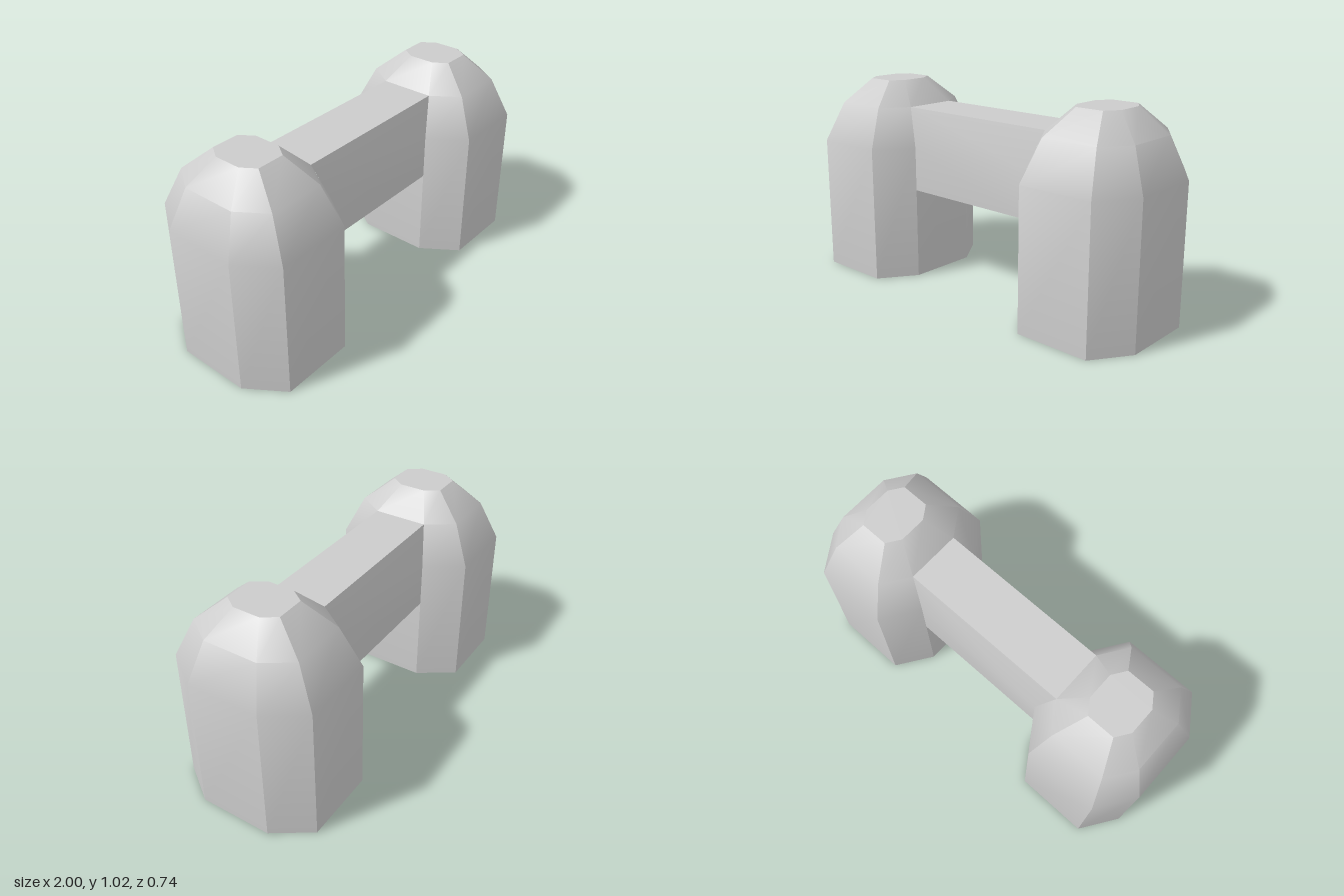
import * as THREE from 'three';
import { toCreasedNormals } from 'three/addons/utils/BufferGeometryUtils.js';

// Skin a stack of matching closed rings of [x, y, z] corners, with optional end caps
function loft(rings, capped) {
  const pos = [];
  const tri = (a, b, c) => pos.push(...a, ...b, ...c);
  const n = rings[0].length;
  for (let i = 0; i < rings.length - 1; i++) {
    const lo = rings[i], hi = rings[i + 1];
    for (let j = 0; j < n; j++) {
      const k = (j + 1) % n;
      tri(lo[j], lo[k], hi[k]);
      tri(lo[j], hi[k], hi[j]);
    }
  }
  if (capped) {
    const first = rings[0], last = rings[rings.length - 1];
    for (let j = 1; j < n - 1; j++) {
      tri(first[0], first[j + 1], first[j]);
      tri(last[0], last[j], last[j + 1]);
    }
  }
  const geo = new THREE.BufferGeometry();
  geo.setAttribute('position', new THREE.Float32BufferAttribute(pos, 3));
  return toCreasedNormals(geo, THREE.MathUtils.degToRad(30));
}

export function createModel() {
  const group = new THREE.Group();
  const material = new THREE.MeshStandardMaterial({ color: 0xcccccc });
  const postX = 0.684;

  // Posts: stretched octagon, straight below and domed above
  const octagon = [
    [0.316, 0.185], [0.316, -0.185], [0.19, -0.37], [-0.19, -0.37],
    [-0.316, -0.185], [-0.316, 0.185], [-0.19, 0.37], [0.19, 0.37],
  ];
  const profile = [[0, 1], [0.7, 1], [0.9, 0.75], [1.023, 0.37]]; // [height, scale]
  const postGeometry = loft(profile.map(([y, s]) => octagon.map(([x, z]) => [x * s, y, z * s])), true);
  for (const [name, side] of [['leftPost', 1], ['rightPost', -1]]) {
    const post = new THREE.Mesh(postGeometry, material);
    post.name = name;
    post.position.x = side * postX;
    group.add(post);
  }

  // Crossbar: chamfered section whose ends follow the slope of the posts
  const section = [ // [half length, y, z]
    [0.447, 0.9, -0.139], [0.447, 0.9, 0.139], [0.368, 0.7, 0.185],
    [0.368, 0.475, 0.185], [0.368, 0.475, -0.185], [0.368, 0.7, -0.185],
  ];
  const bar = new THREE.Mesh(loft([-1, 1].map((s) => section.map(([x, y, z]) => [s * x, y, z])), false), material);
  bar.name = 'crossbar';
  group.add(bar);

  return group;
}
